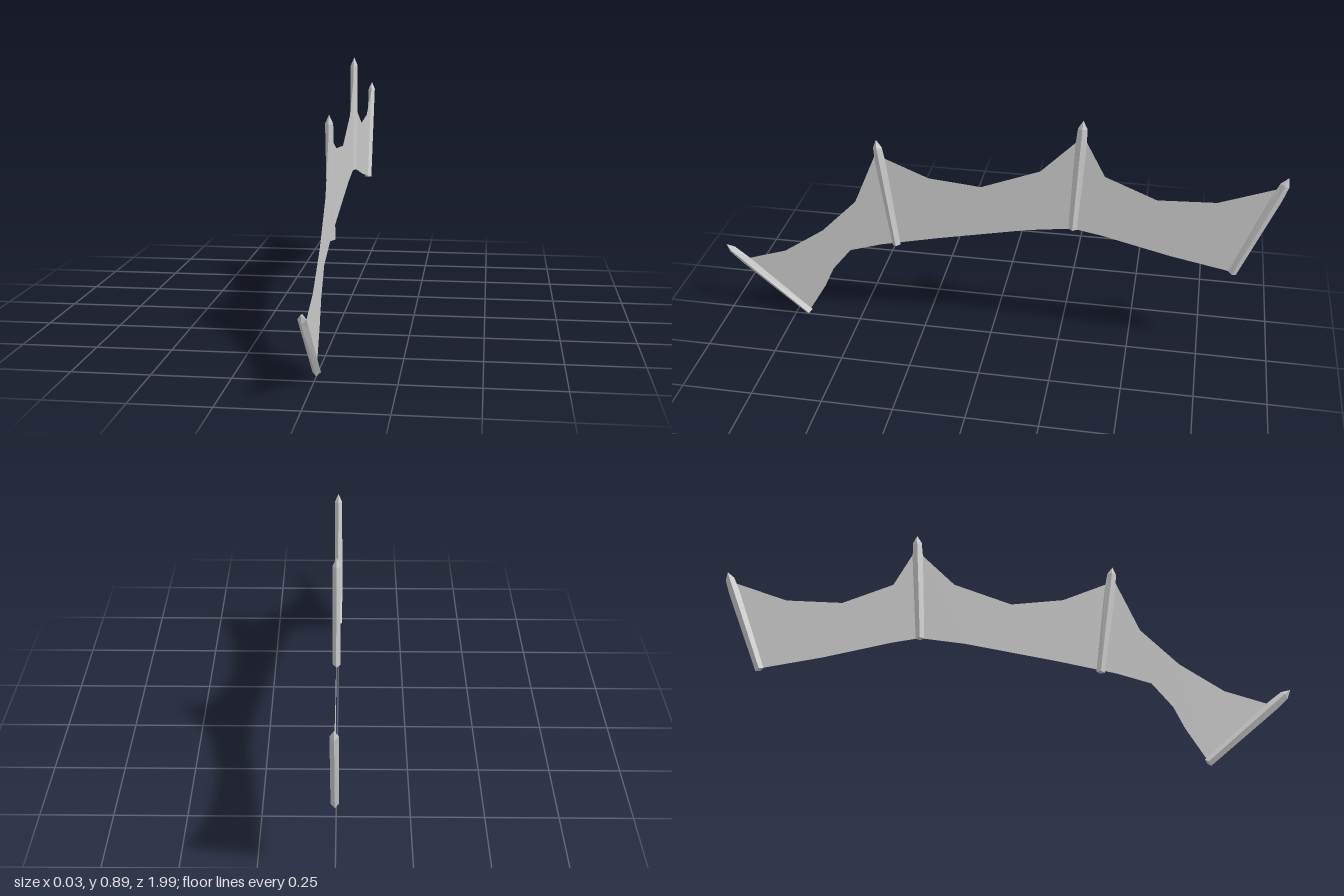
import * as THREE from 'three';

const grey = new THREE.MeshStandardMaterial({ color: 0xcccccc, flatShading: true, side: THREE.DoubleSide });
grey.name = 'grey';

// Diamond-section spine from its foot to its pointed tip, both given as [z, y]
function makeSpine(foot, tip) {
  const dz = tip[0] - foot[0], dy = tip[1] - foot[1], len = Math.hypot(dz, dy);
  const profile = [[0, 0], [0.015, 0], [0.019, len - 0.09], [0.016, len - 0.03], [0, len]]
    .map(([r, y]) => new THREE.Vector2(r, y));
  const geo = new THREE.LatheGeometry(profile, 4);
  // keep the sideways thickness constant along the shaft
  const pos = geo.attributes.position;
  for (let i = 0; i < pos.count; i++) pos.setX(i, THREE.MathUtils.clamp(pos.getX(i), -0.013, 0.013));
  const mesh = new THREE.Mesh(geo, grey);
  mesh.position.set(0, foot[1], foot[0]);
  mesh.rotation.x = Math.atan2(dz, dy);
  return mesh;
}

export function createModel() {
  const group = new THREE.Group();
  group.name = 'finCrest';

  // Spines, front to back
  const spines = [
    [[0.695, 0.015], [0.998, 0.28]],
    [[0.345, 0.348], [0.402, 0.763]],
    [[-0.288, 0.478], [-0.31, 0.895]],
    [[-0.845, 0.36], [-0.992, 0.745]],
  ];
  spines.forEach(([foot, tip], i) => {
    const spine = makeSpine(foot, tip);
    spine.name = 'spine' + (i + 1);
    group.add(spine);
  });

  // Web panels stretched between the spines: outline points [z, y]
  const panels = [
    [[0.925, 0.225], [0.77, 0.276], [0.62, 0.378], [0.49, 0.51], [0.41, 0.70], [0.392, 0.70],
      [0.347, 0.355], [0.40, 0.343], [0.52, 0.305], [0.59, 0.217], [0.625, 0.14], [0.69, 0.03]],
    [[0.392, 0.70], [0.22, 0.63], [0.035, 0.613], [-0.17, 0.693], [-0.29, 0.815], [-0.306, 0.815],
      [-0.288, 0.48], [-0.13, 0.458], [0.195, 0.39], [0.347, 0.355]],
    [[-0.306, 0.815], [-0.325, 0.815], [-0.39, 0.693], [-0.57, 0.62], [-0.77, 0.63], [-0.965, 0.702],
      [-0.84, 0.365], [-0.63, 0.405], [-0.385, 0.463], [-0.288, 0.48]],
  ];
  panels.forEach((outline, i) => {
    const shape = new THREE.Shape(outline.map(([z, y]) => new THREE.Vector2(-z, y)));
    const web = new THREE.Mesh(new THREE.ShapeGeometry(shape), grey);
    web.rotation.y = Math.PI / 2;
    web.name = 'webPanel' + (i + 1);
    group.add(web);
  });

  return group;
}
